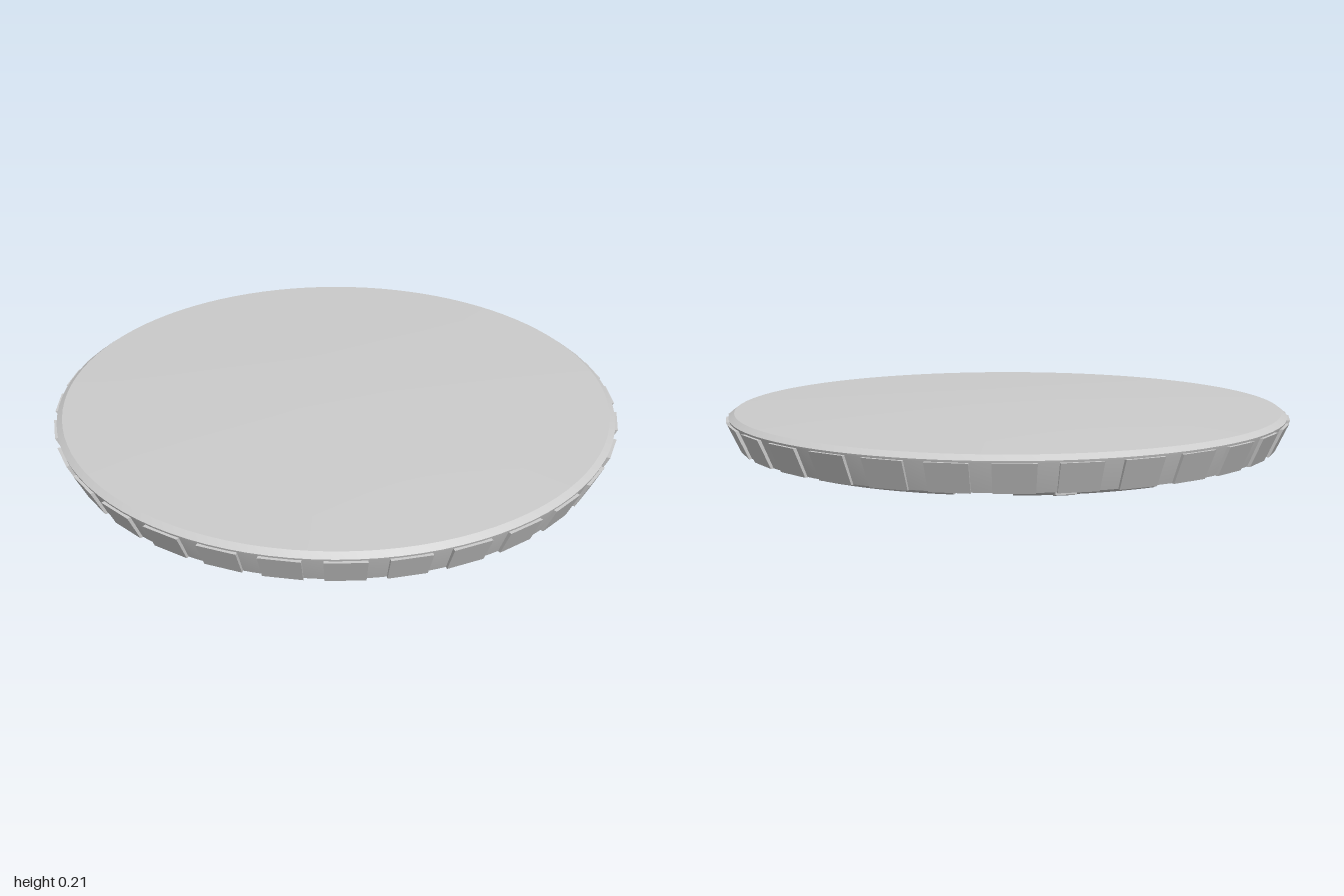
import * as THREE from 'three';
import { toCreasedNormals } from 'three/addons/utils/BufferGeometryUtils.js';

const smooth = new THREE.MeshStandardMaterial({ color: 0xcccccc });
const flat = new THREE.MeshStandardMaterial({ color: 0xcccccc, flatShading: true });
const rad = THREE.MathUtils.degToRad;

// Solid of revolution with sharp profile corners; profile runs from the bottom up
function lathe(name, profile, sides) {
  const points = profile.map(([r, y]) => new THREE.Vector2(r, y));
  const mesh = new THREE.Mesh(toCreasedNormals(new THREE.LatheGeometry(points, sides), rad(15)), smooth);
  mesh.name = name;
  return mesh;
}

// Box bent around the vertical axis. Each corner is [radius, y].
function polarSlab(name, fromDeg, toDeg, c, segments = 1) {
  const geo = new THREE.BoxGeometry(1, 1, 1, segments, 1, 1);
  const pos = geo.attributes.position;
  for (let i = 0; i < pos.count; i++) {
    const a = rad(THREE.MathUtils.lerp(fromDeg, toDeg, pos.getX(i) + 0.5));
    const outer = pos.getZ(i) > 0, top = pos.getY(i) > 0;
    const [r, y] = outer ? (top ? c.outerTop : c.outerBottom) : (top ? c.innerTop : c.innerBottom);
    pos.setXYZ(i, r * Math.cos(a), y, -r * Math.sin(a));
  }
  geo.computeVertexNormals();
  const mesh = new THREE.Mesh(geo, flat);
  mesh.name = name;
  return mesh;
}

export function createModel() {
  const model = new THREE.Group();
  model.name = 'disc';

  // Main body: recessed underside, sloping side wall, bevelled lip and shallow dome
  model.add(lathe('body', [
    [0, 0.222], [0.24, 0.226], [0.9, 0.256], [0.947, 0.26], [0.988, 0.355],
    [0.99, 0.362], [0.97, 0.377], [0.8, 0.383], [0.6, 0.39], [0.4, 0.395], [0.2, 0.399], [0, 0.4],
  ], 96));

  // Plates around the side wall
  const plates = new THREE.Group();
  plates.name = 'rimPlates';
  const count = 32, step = 360 / count;
  for (let i = 0; i < count; i++) {
    const mid = (i + 0.5) * step;
    plates.add(polarSlab('rimPlate', mid - 3.75, mid + 3.75, {
      outerTop: [1, 0.355], outerBottom: [0.956, 0.259],
      innerTop: [0.96, 0.355], innerBottom: [0.925, 0.259],
    }));
  }
  model.add(plates);

  // Raised underside sectors: wide channels on the axes, narrow ones on the diagonals
  const sectors = new THREE.Group();
  sectors.name = 'undersideSectors';
  for (let q = 0; q < 4; q++) {
    for (const start of [11.5, 50.5]) {
      sectors.add(polarSlab('undersideSector', q * 90 + start, q * 90 + start + 28, {
        outerTop: [0.94, 0.262], outerBottom: [0.9, 0.242],
        innerTop: [0.225, 0.235], innerBottom: [0.225, 0.212],
      }, 8));
    }
  }
  model.add(sectors);

  // Small blocks near the outer edge of the underside
  for (const a of [31, -27, 243, 150]) {
    model.add(polarSlab('edgeBlock', a - 2, a + 2, {
      outerTop: [0.93, 0.265], outerBottom: [0.93, 0.248],
      innerTop: [0.895, 0.265], innerBottom: [0.895, 0.238],
    }));
  }

  // Central hub and its pin
  model.add(lathe('hub', [
    [0, 0.204], [0.105, 0.205], [0.118, 0.21], [0.225, 0.212], [0.24, 0.23],
  ], 48));
  model.add(lathe('hubPin', [[0, 0.19], [0.012, 0.19], [0.018, 0.196], [0.018, 0.21]], 12));

  return model;
}
